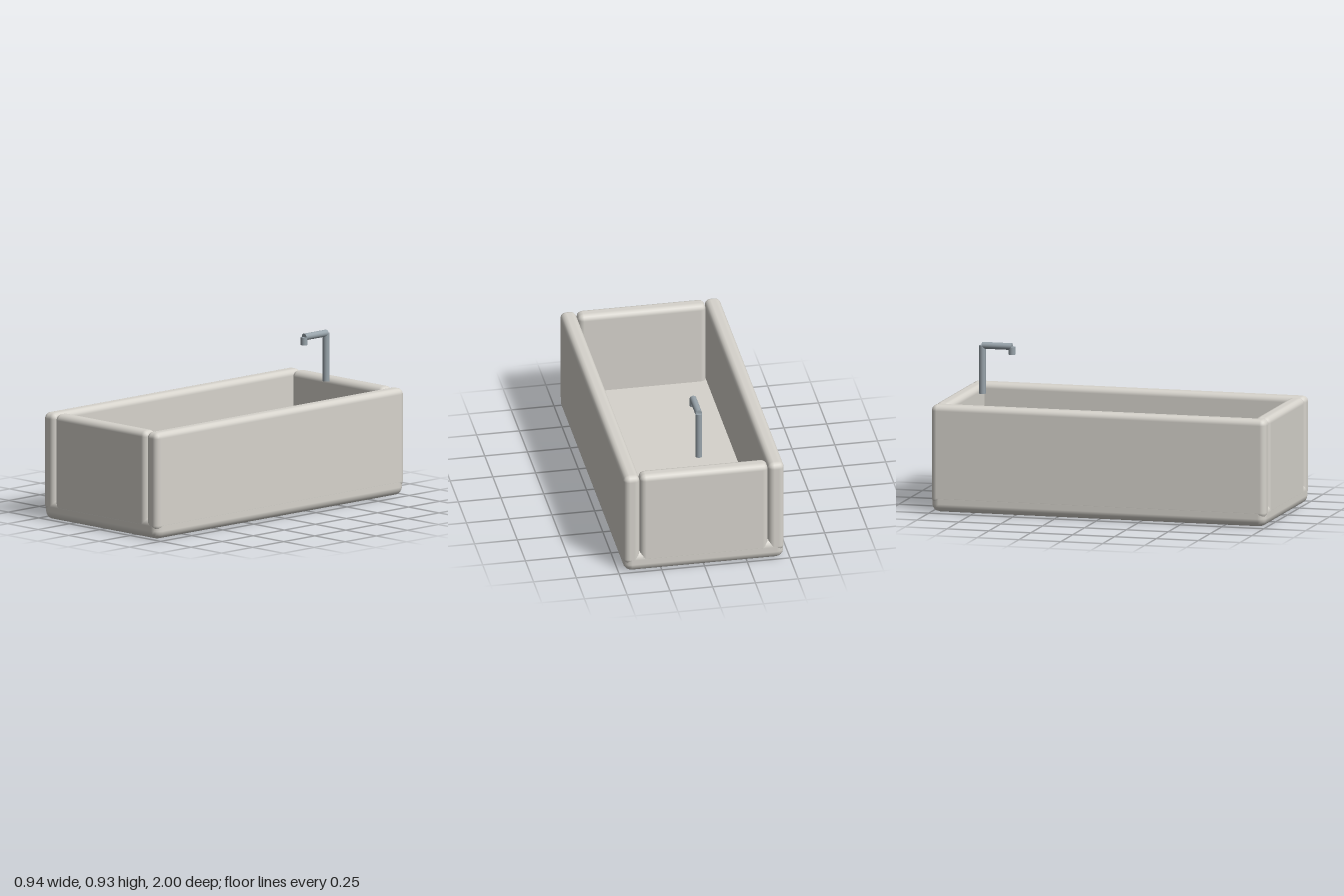
import * as THREE from 'three';
import { RoundedBoxGeometry } from 'three/addons/geometries/RoundedBoxGeometry.js';

export function createModel() {
  const group = new THREE.Group();
  const stone = new THREE.MeshStandardMaterial({ color: 0xd6d3cc });
  stone.name = 'stone';
  const metal = new THREE.MeshStandardMaterial({ color: 0x98a3aa });
  metal.name = 'metal';

  const add = (name, geometry, material, x, y, z) => {
    const mesh = new THREE.Mesh(geometry, material);
    mesh.name = name;
    mesh.position.set(x, y, z);
    group.add(mesh);
    return mesh;
  };

  // Basin: floor slab with four soft-edged walls standing in it
  const width = 0.938, length = 2, height = 0.625;
  const thick = 0.094, floorTop = 0.125, wallBase = 0.047;
  const wallHeight = height - wallBase, wallY = (height + wallBase) / 2;
  add('floorSlab', new RoundedBoxGeometry(width, floorTop, length, 2, 0.048), stone, 0, floorTop / 2, 0);
  for (const side of [-1, 1]) {
    add(side > 0 ? 'leftWall' : 'rightWall',
      new RoundedBoxGeometry(thick, wallHeight, length, 2, 0.035),
      stone, side * (width - thick) / 2, wallY, 0);
    add(side > 0 ? 'frontWall' : 'backWall',
      new RoundedBoxGeometry(width - 2 * thick, wallHeight, thick, 2, 0.035),
      stone, 0, wallY, side * (length - thick) / 2);
  }

  // Tap: post, horizontal spout and short nozzle
  const r = 0.02, postZ = -0.822, nozzleZ = -0.645, spoutY = 0.906;
  const pipe = (len) => new THREE.CylinderGeometry(r, r, len, 16);
  add('tapPost', pipe(spoutY - height), metal, 0, (spoutY + height) / 2, postZ);
  add('tapSpout', pipe(nozzleZ - postZ), metal, 0, spoutY, (postZ + nozzleZ) / 2).rotation.x = Math.PI / 2;
  add('tapNozzle', pipe(0.045), metal, 0, 0.8825, nozzleZ);

  // Drain disc under the nozzle
  add('drain', new THREE.CylinderGeometry(0.04, 0.04, 0.008, 20), metal, 0, floorTop + 0.003, -0.65);

  return group;
}
